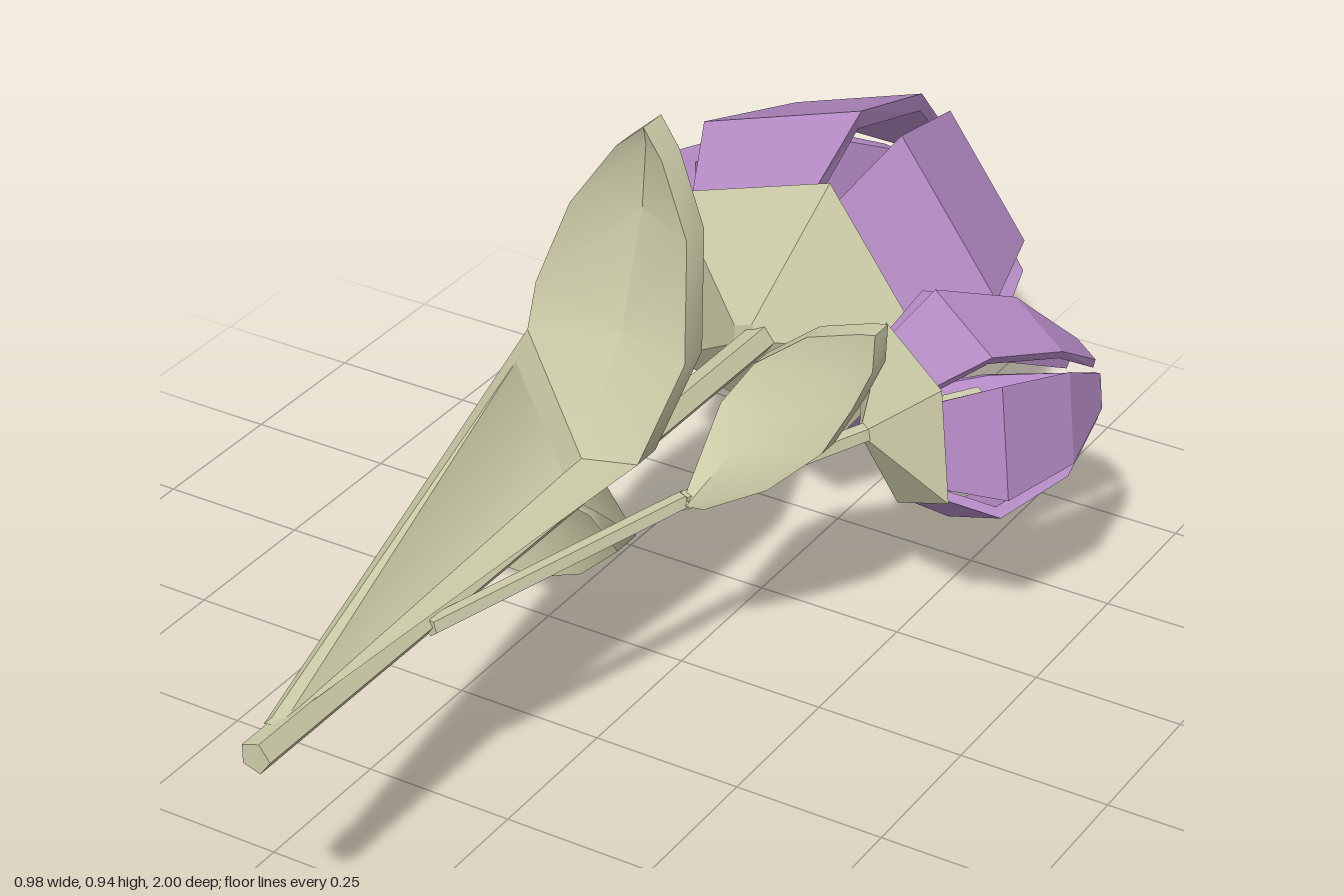
import * as THREE from 'three';
import { toCreasedNormals } from 'three/addons/utils/BufferGeometryUtils.js';

const green = new THREE.MeshStandardMaterial({ color: 0xcccca8, side: THREE.DoubleSide });
const greenFlat = new THREE.MeshStandardMaterial({ color: 0xcccca8, flatShading: true });
const purple = new THREE.MeshStandardMaterial({ color: 0xb48ac4, flatShading: true, side: THREE.DoubleSide });

// Closed skin over a list of rings with equal point counts
function loft(rings) {
  const n = rings[0].length, index = [];
  for (let i = 0; i < rings.length - 1; i++) {
    for (let j = 0; j < n; j++) {
      const a = i * n + j, b = i * n + (j + 1) % n;
      index.push(a, b, b + n, a, b + n, a + n);
    }
  }
  const last = (rings.length - 1) * n;
  for (let j = 1; j < n - 1; j++) {
    index.push(0, j + 1, j, last, last + j, last + j + 1);
  }
  const geo = new THREE.BufferGeometry();
  geo.setAttribute('position', new THREE.Float32BufferAttribute(rings.flat(2), 3));
  geo.setIndex(index);
  geo.computeVertexNormals();
  return geo;
}

function add(parent, name, geo, mat) {
  const mesh = new THREE.Mesh(geo, mat);
  mesh.name = name;
  parent.add(mesh);
  return mesh;
}

// Five-sided rod between two points
function rod(parent, name, from, to, radius) {
  const a = new THREE.Vector3(...from), b = new THREE.Vector3(...to);
  const dir = b.clone().sub(a);
  const geo = new THREE.CylinderGeometry(radius, radius, dir.length(), 5, 1, false, Math.PI / 2);
  const mesh = add(parent, name, geo, greenFlat);
  mesh.position.copy(a).add(b).multiplyScalar(0.5);
  mesh.quaternion.setFromUnitVectors(new THREE.Vector3(0, 1, 0), dir.normalize());
}

// Leaf from rows of [left edge, midrib, right edge], thickened towards the back
function leaf(parent, name, rows, thickness) {
  const rings = rows.map((row, i) => {
    const t = i === 0 ? thickness * 0.3 : thickness;
    const back = row.map(([x, y, z]) => [x, y, z - t]).reverse();
    return [...row, ...back];
  });
  add(parent, name, toCreasedNormals(loft(rings), 0.8), green);
}

// Flower opening towards -z, with its calyx rim at the origin
function flower(name) {
  const g = new THREE.Group();
  g.name = name;

  const cup = new THREE.CylinderGeometry(0.262, 0.028, 0.12, 5, 1, false, Math.PI / 2);
  cup.rotateX(-Math.PI / 2).translate(0, 0, 0.06);
  add(g, 'calyx', cup, greenFlat);
  rod(g, 'pistil', [0.01, 0, 0], [0.01, 0, -0.215], 0.055);

  // Rows of [distance from axis, half width, z]
  const profile = [[0.2, 0.12, 0], [0.28, 0.155, -0.135], [0.22, 0.125, -0.36], [0.1, 0.048, -0.515]];
  const thick = 0.03;
  const petal = loft(profile.map(([r, w, z]) => [
    [r, w, z], [r, -w, z], [r - thick, -w * 0.9, z], [r - thick, w * 0.9, z],
  ]));
  for (let k = 0; k < 5; k++) {
    add(g, 'petal', petal, purple).rotation.z = Math.PI / 5 + k * Math.PI * 0.4;
  }
  return g;
}

export function createModel() {
  const model = new THREE.Group();
  model.name = 'flowerStalk';

  // Stems
  rod(model, 'mainStem', [-0.08, 0.38, 1], [-0.08, 0.38, -0.46], 0.026);
  rod(model, 'sideStemLower', [-0.06, 0.378, 0.6], [0.07, 0.375, 0.1], 0.015);
  rod(model, 'sideStemUpper', [0.07, 0.375, 0.11], [0.21, 0.37, -0.24], 0.016);

  // Blossoms
  const large = flower('largeFlower');
  large.position.set(-0.1, 0.38, -0.485);
  const small = flower('smallFlower');
  small.position.set(0.24, 0.37, -0.28);
  small.scale.setScalar(0.61);
  small.rotation.set(0, -0.586, -0.45);
  model.add(large, small);

  // Upright leaf whose long sheath clasps the stem
  const upTip = [-0.045, 0.945, 0.035];
  leaf(model, 'upperLeaf', [
    [[-0.1, 0.4, 0.95], [-0.08, 0.4, 0.94], [-0.055, 0.395, 0.27]],
    [[-0.2, 0.6, 0.12], [-0.08, 0.43, 0.16], [0.02, 0.45, 0.16]],
    [[-0.2, 0.67, 0.095], [-0.075, 0.6, 0.05], [0.06, 0.6, 0.09]],
    [[-0.16, 0.8, 0.06], [-0.06, 0.8, 0.015], [0.045, 0.79, 0.06]],
    [[-0.09, 0.905, 0.04], [-0.05, 0.91, 0.02], [-0.01, 0.9, 0.04]],
    [upTip, upTip, upTip],
  ], 0.05);

  // Drooping leaf
  const lowTip = [-0.5, 0.005, -0.1];
  leaf(model, 'lowerLeaf', [
    [[-0.06, 0.34, 0.17], [-0.08, 0.37, 0.2], [-0.1, 0.395, 0.18]],
    [[-0.08, 0.21, 0.06], [-0.15, 0.29, 0.05], [-0.24, 0.375, 0]],
    [[-0.2, 0.085, -0.02], [-0.28, 0.18, -0.04], [-0.365, 0.285, -0.06]],
    [[-0.315, 0.02, -0.06], [-0.39, 0.1, -0.09], [-0.45, 0.18, -0.1]],
    [[-0.44, 0, -0.09], [-0.465, 0.03, -0.1], [-0.49, 0.06, -0.1]],
    [lowTip, lowTip, lowTip],
  ], 0.055);

  // Small leaf on the side stem
  const sideTip = [0.305, 0.655, -0.05];
  leaf(model, 'sideLeaf', [
    [[0.07, 0.39, 0.1], [0.08, 0.375, 0.12], [0.1, 0.365, 0.1]],
    [[0.075, 0.5, 0.01], [0.115, 0.44, 0.05], [0.17, 0.385, 0.03]],
    [[0.115, 0.565, -0.02], [0.17, 0.5, 0], [0.24, 0.45, -0.01]],
    [[0.195, 0.625, -0.04], [0.24, 0.58, -0.04], [0.28, 0.53, -0.03]],
    [[0.28, 0.65, -0.05], [0.295, 0.635, -0.05], [0.305, 0.595, -0.045]],
    [sideTip, sideTip, sideTip],
  ], 0.04);

  return model;
}
